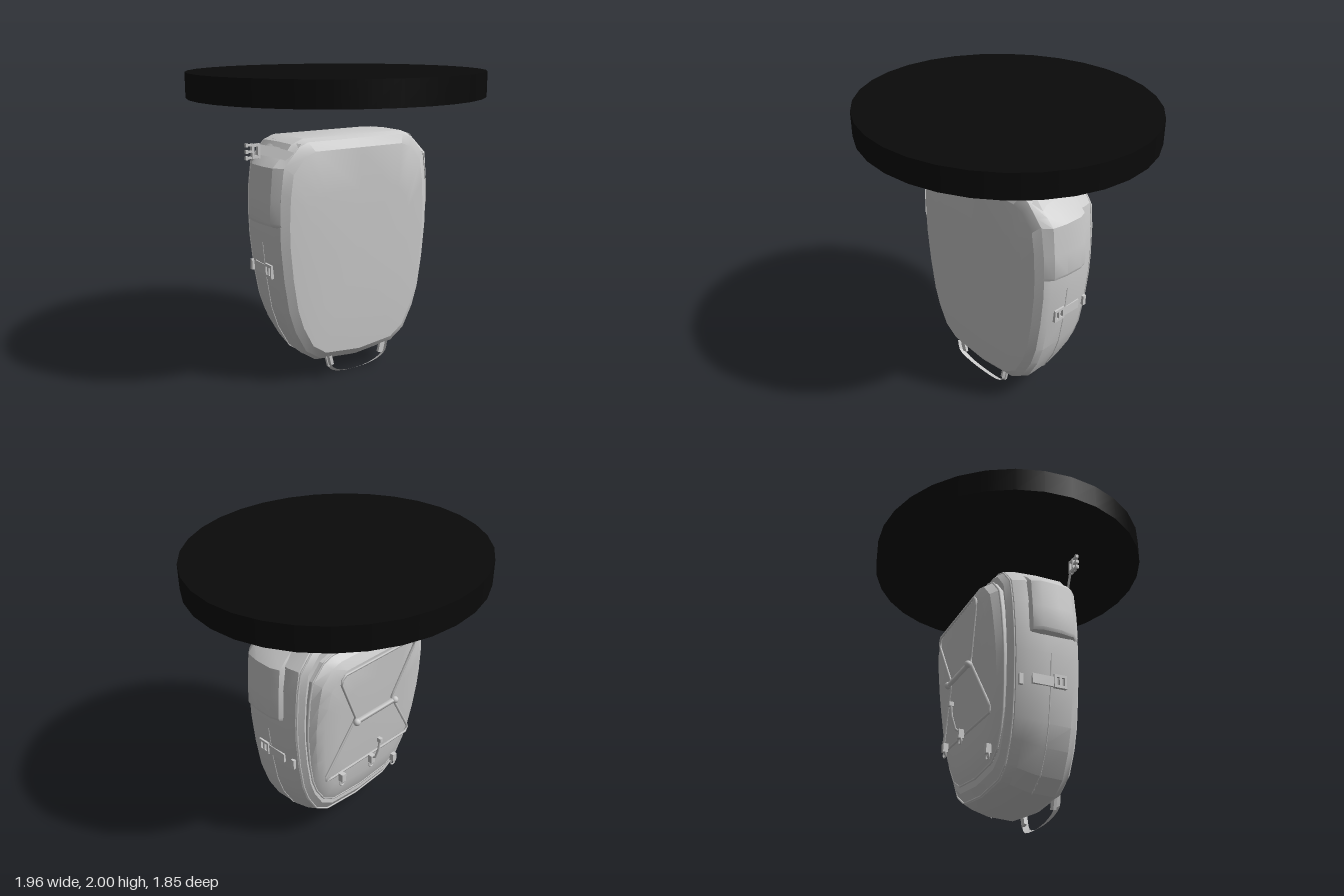
import * as THREE from 'three';
import { toCreasedNormals } from 'three/addons/utils/BufferGeometryUtils.js';

const grey = new THREE.MeshStandardMaterial({ color: 0xcccccc });
const thin = new THREE.MeshStandardMaterial({ color: 0xcccccc, side: THREE.DoubleSide });
const black = new THREE.MeshStandardMaterial({ color: 0x0a0a0a });
const V = (x, y, z) => new THREE.Vector3(x, y, z);

// Skin a list of equally long point rows
function skin(rows, closed, crease = 0.45) {
  const n = rows[0].length, index = [];
  for (let i = 0; i < rows.length - 1; i++) {
    for (let j = 0; j < (closed ? n : n - 1); j++) {
      const k = (j + 1) % n, a = i * n + j, b = i * n + k, c = a + n, d = b + n;
      index.push(a, b, c, b, d, c);
    }
  }
  const g = new THREE.BufferGeometry();
  g.setAttribute('position', new THREE.Float32BufferAttribute(rows.flat(2), 3));
  g.setIndex(index);
  return toCreasedNormals(g, crease);
}

// Half of the pack outline, mirrored into a clockwise ring
const half = [[0, 1.605], [0.38, 1.605], [0.46, 1.575], [0.56, 1.46], [0.585, 1.3], [0.595, 1.1], [0.592, 0.95],
  [0.57, 0.72], [0.535, 0.5], [0.49, 0.36], [0.41, 0.21], [0.3, 0.135], [0, 0.105]];
const outline = [...half, ...half.slice(1, -1).reverse().map(([x, y]) => [-x, y])];
const CY = 0.855;
const ring = ([z, sx, top, bottom, slant = 0]) => outline.map(([x, y]) => {
  const yy = CY + (y - CY) * (y > CY ? top : bottom);
  return [x * sx, yy, z - slant * (yy - CY)];
});

export function createModel() {
  const model = new THREE.Group();
  const add = (name, geometry, material = grey, parent = model) => {
    const m = new THREE.Mesh(geometry, material);
    m.name = name;
    parent.add(m);
    return m;
  };
  const box = (name, w, h, d, x, y, z, parent = model) => {
    const m = add(name, new THREE.BoxGeometry(w, h, d), grey, parent);
    m.position.set(x, y, z);
    return m;
  };
  const cord = (name, pts, r = 0.008, closed = false) => {
    const path = new THREE.CurvePath();
    const list = closed ? [...pts, pts[0]] : pts;
    for (let i = 0; i < list.length - 1; i++) path.add(new THREE.LineCurve3(list[i], list[i + 1]));
    return add(name, new THREE.TubeGeometry(path, pts.length * 8, r, 5, closed));
  };
  // Flat webbing following a path; w is the half-width vector
  const webbing = (name, pts, w) => {
    const curve = new THREE.CatmullRomCurve3(pts).getPoints(14);
    return add(name, skin(curve.map(p => [p.clone().add(w).toArray(), p.clone().sub(w).toArray()]), false), thin);
  };

  // Disc above the pack
  const disc = add('disc', new THREE.CylinderGeometry(1, 1, 0.16, 32), black);
  disc.scale.set(0.98, 1, 0.925);
  disc.position.y = 1.92;

  // Main body, from front panel to back seam
  add('body', skin([
    [0.262, 0, 0, 0], [0.27, 0.66, 0.53, 0.53], [0.258, 0.88, 0.9, 0.91], [0.225, 0.965, 0.975, 0.97],
    [0.18, 1, 1, 1], [0, 1, 1, 0.985], [-0.13, 0.985, 0.99, 0.94, 0.02], [-0.19, 0.95, 0.98, 0.91, 0.03],
    [-0.23, 0.88, 0.94, 0.82, 0.03], [-0.225, 0.8, 0.85, 0.7, 0.03], [-0.225, 0, 0, 0],
  ].map(ring), true));

  // Slanted pocket on the back
  add('backPocket', skin([
    [-0.2, 0.86, 0.87, 0.75, 0.03], [-0.25, 0.86, 0.87, 0.75, 0.05], [-0.285, 0.81, 0.83, 0.68, 0.08],
    [-0.307, 0.72, 0.75, 0.57, 0.1], [-0.312, 0.5, 0.5, 0.4, 0.1], [-0.314, 0, 0, 0],
  ].map(ring), true));

  // Zips round the back pocket and the body edge
  cord('pocketZip', ring([-0.248, 0.865, 0.875, 0.755, 0.05]).map(p => V(...p)), 0.007, true);
  cord('bodyZip', ring([-0.2, 0.94, 0.972, 0.9, 0.03]).map(p => V(...p)), 0.006, true);

  // Lacing in an hourglass on the back
  const onBack = (x, y) => V(x, y, -0.318 - 0.1 * (y - CY));
  cord('lacing', [[-0.31, 1.4], [0.31, 1.4], [0.34, 1.36], [0.17, 1.0], [0.4, 0.62], [0.39, 0.58],
    [-0.39, 0.58], [-0.4, 0.62], [-0.17, 1.0], [-0.34, 1.36]].map(p => onBack(...p)), 0.009, true);
  cord('lacingBar', [onBack(-0.18, 0.98), onBack(0.18, 0.98)].map(p => p.setZ(-0.35)), 0.018);
  for (const x of [-0.18, 0.18]) {
    const knob = add('lacingKnob', new THREE.SphereGeometry(0.025, 8, 6));
    knob.position.set(x, 0.98, -0.355);
  }

  // Cord pulls and toggles
  cord('pullCord', [V(0, 0.57, -0.3), V(0, 0.6, -0.36), V(0, 0.68, -0.385), V(0, 0.77, -0.395)], 0.008);
  box('pullTab', 0.025, 0.03, 0.03, 0, 0.765, -0.395);
  for (const [x, y, z] of [[0, 0.57, -0.325], [0.28, 0.57, -0.325], [-0.3, 0.38, -0.262]]) {
    box('toggle', 0.035, 0.06, 0.035, x, y, z);
    const loop = add('toggleLoop', new THREE.TorusGeometry(0.022, 0.006, 5, 10));
    loop.position.set(x, y - 0.045, z);
  }

  for (const s of [-1, 1]) {
    const side = s > 0 ? 'left' : 'right';
    // Side pocket: rows of [y, rim x, bulge x]
    const depth = [[0.23, 0], [0.18, 0.75], [0.08, 1], [-0.04, 1], [-0.1, 0.65], [-0.12, 0]];
    const rows = [[1.06, 0.55, 0.57], [1.08, 0.57, 0.628], [1.1, 0.575, 0.636], [1.25, 0.57, 0.628],
      [1.44, 0.545, 0.612], [1.49, 0.5, 0.56], [1.58, 0.42, 0.44]]
      .map(([y, rim, out]) => depth.map(([z, k]) => [s * (rim + (out - rim) * k), y, z]));
    if (s > 0) rows.reverse();
    add(side + 'SidePocket', skin(rows.reverse(), false), thin);

    // Compression strap with buckle
    const strap = new THREE.Group();
    strap.name = side + 'SideStrap';
    model.add(strap);
    box('strap', 0.02, 0.065, 0.15, s * 0.572, 0.765, -0.02, strap);
    for (const y of [0.735, 0.805]) box('buckleBar', 0.03, 0.018, 0.085, s * 0.577, y, 0.09, strap);
    for (const z of [0.055, 0.09, 0.125]) box('bucklePost', 0.03, 0.085, 0.015, s * 0.577, 0.77, z, strap);
    box('strapEnd', 0.02, 0.07, 0.025, s * 0.563, 0.75, -0.165, strap);

    // Side seam
    cord(side + 'Seam', [[0.3, 0.137], [0.41, 0.213], [0.49, 0.362], [0.535, 0.5], [0.57, 0.72], [0.592, 0.95]]
      .map(([x, y]) => V(s * x, y, 0.03)), 0.004);
  }

  // Carry handle below the pack
  webbing('handle', [V(-0.24, 0.17, 0.235), V(-0.22, 0.09, 0.235), V(-0.15, 0.035, 0.215), V(0, 0.012, 0.205),
    V(0.15, 0.035, 0.215), V(0.22, 0.09, 0.235), V(0.24, 0.17, 0.235)], V(0, 0.012, 0.022));
  for (const s of [-1, 1]) box('handleAnchor', 0.045, 0.08, 0.02, s * 0.215, 0.125, 0.22).rotation.z = s * -0.25;

  // Loose strap and clip at the upper corner
  webbing('cornerStrap', [V(-0.45, 1.49, 0.235), V(-0.54, 1.525, 0.2), V(-0.67, 1.56, 0.15)], V(0.008, 0.03, 0));
  const clip = new THREE.Group();
  clip.name = 'clip';
  clip.position.set(-0.69, 1.55, 0.145);
  model.add(clip);
  for (const x of [-0.02, 0.02]) box('clipPost', 0.015, 0.09, 0.025, x, 0, 0, clip);
  for (const y of [-0.035, 0.035]) box('clipBar', 0.05, 0.015, 0.025, 0, y, 0, clip);
  for (const y of [-0.038, 0, 0.038]) {
    box('clipProng', 0.045, 0.012, 0.02, -0.045, y, 0, clip);
    box('clipTip', 0.015, 0.022, 0.02, -0.06, y, 0, clip);
  }
  return model;
}
